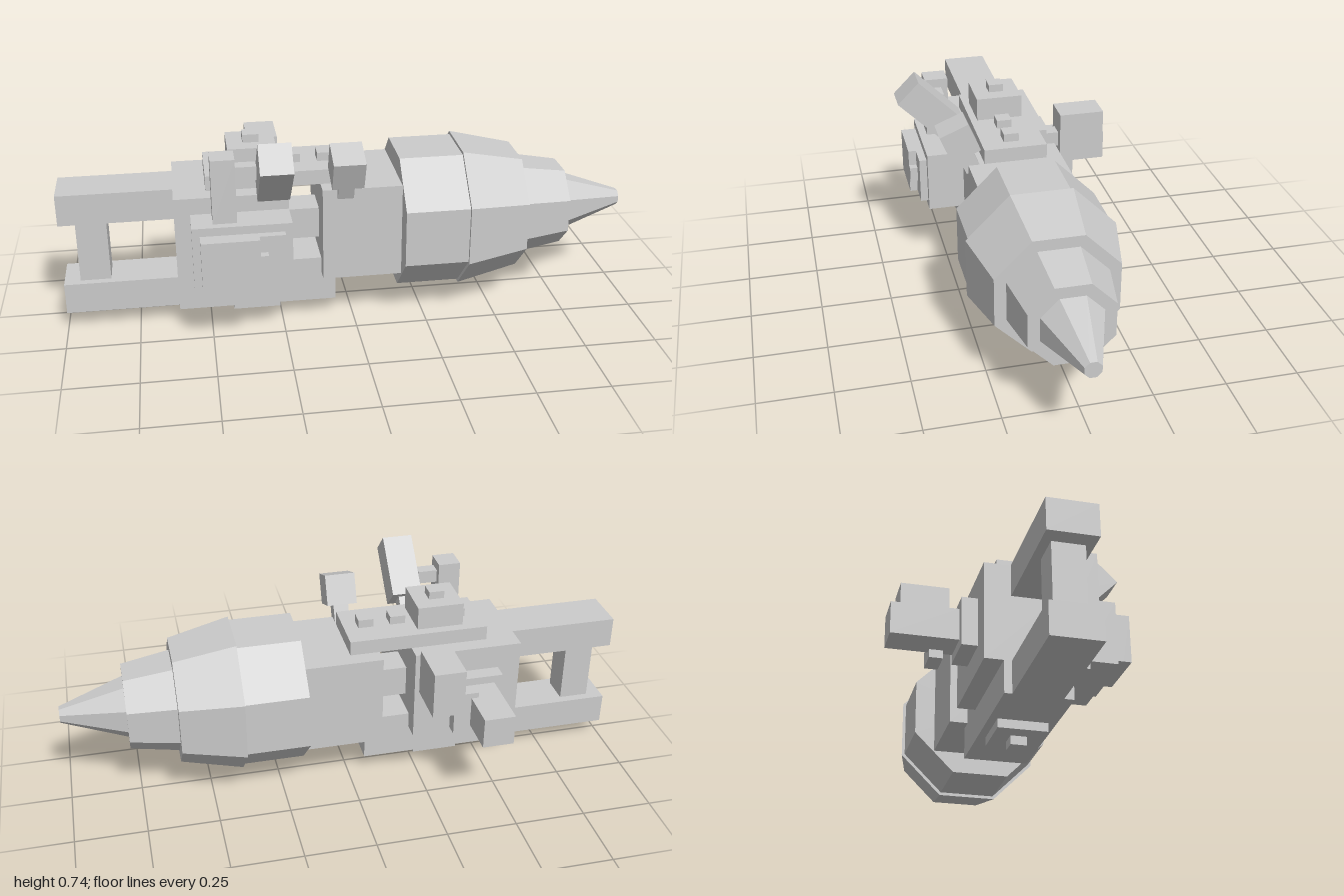
import * as THREE from 'three';

const AXIS_Y = 0.336, AXIS_Z = 0.034;

export function createModel() {
  const root = new THREE.Group();
  const mat = new THREE.MeshStandardMaterial({ color: 0xcccccc, flatShading: true });

  const add = (name, geo, x, y, z, parent = root) => {
    const m = new THREE.Mesh(geo, mat);
    m.name = name;
    m.position.set(x, y, z);
    parent.add(m);
    return m;
  };
  // Box given by its extents on each axis
  const box = (name, [x0, x1], [y0, y1], [z0, z1]) =>
    add(name, new THREE.BoxGeometry(x1 - x0, y1 - y0, z1 - z0),
      (x0 + x1) / 2, (y0 + y1) / 2, (z0 + z1) / 2);
  // Eight-sided nose section between two x positions, sized by flat-to-centre distance
  const section = (name, x0, x1, a0, a1) => {
    const k = 1 / Math.cos(Math.PI / 8);
    const g = new THREE.CylinderGeometry(a1 * k, a0 * k, x1 - x0, 8, 1, false, Math.PI / 8);
    g.rotateZ(-Math.PI / 2);
    add(name, g, (x0 + x1) / 2, AXIS_Y, AXIS_Z);
  };

  // Octagonal nose
  section('noseCollar', 0.165, 0.387, 0.242, 0.242);
  section('noseShoulder', 0.387, 0.605, 0.253, 0.206);
  section('noseNeck', 0.605, 0.775, 0.167, 0.14);
  section('noseCone', 0.775, 1, 0.101, 0.027);

  // Hull blocks and the link between them
  const hullZ = [-0.137, 0.2];
  box('frontHull', [-0.11, 0.165], [0.17, 0.505], hullZ);
  box('rearHull', [-0.61, -0.225], [0.17, 0.505], hullZ);
  box('hullLink', [-0.225, -0.11], [0.28, 0.392], [-0.025, 0.09]);
  box('keel', [-0.61, -0.06], [0.06, 0.225], [-0.075, 0.145]);

  // Tail frame
  box('upperTailBeam', [-1, -0.61], [0.395, 0.505], [-0.05, 0.112]);
  box('lowerTailBeam', [-1, -0.61], [0.06, 0.17], [-0.05, 0.112]);
  box('tailPost', [-0.945, -0.84], [0.17, 0.395], [-0.02, 0.085]);

  // Stepped top deck with small hatches
  const stepZ = [-0.048, 0.118], knobZ = [0.008, 0.062];
  box('topDeck', [-0.5, -0.005], [0.505, 0.557], [-0.082, 0.142]);
  box('topStep', [-0.42, -0.255], [0.557, 0.64], stepZ);
  box('topKnob', [-0.365, -0.31], [0.64, 0.668], knobZ);
  for (const x of [-0.445, -0.225, -0.11])
    box('deckHatch', [x, x + 0.055], [0.557, 0.587], knobZ);

  // Stepped belly
  box('bellyStep', [-0.42, -0.255], [0.03, 0.06], stepZ);
  box('bellyKnob', [-0.365, -0.31], [0, 0.03], knobZ);

  // Front side housing and mast
  box('sidePlate', [-0.556, -0.225], [0.225, 0.447], [0.2, 0.313]);
  box('sideSlab', [-0.53, -0.25], [0.25, 0.418], [0.313, 0.34]);
  box('sideBlock', [-0.53, -0.337], [0.25, 0.418], [0.34, 0.368]);
  box('sideLatch', [-0.337, -0.31], [0.305, 0.36], [0.34, 0.368]);
  box('mast', [-0.485, -0.405], [0.447, 0.67], [0.2, 0.285]);
  box('mastArm', [-0.405, -0.335], [0.59, 0.637], [0.225, 0.27]);

  // Tilted turrets, each a head on a stalk
  const turret = (name, x, y, z, height, stalk, angle) => {
    const g = new THREE.Group();
    g.name = name;
    g.position.set(x, y, z);
    g.rotation.x = angle;
    add('turretHead', new THREE.BoxGeometry(0.108, height, 0.109), 0, 0, 0, g);
    add('turretStalk', new THREE.BoxGeometry(0.055, stalk, 0.055), 0, -(height + stalk) / 2, 0, g);
    root.add(g);
  };
  turret('largeTurret', -0.28, 0.621, 0.292, 0.223, 0.06, Math.PI / 4);
  turret('smallTurret', -0.032, 0.604, 0.231, 0.11, 0.075, Math.PI / 8);

  // Back side equipment
  box('backPlate', [-0.53, -0.38], [0.25, 0.418], [-0.19, -0.137]);
  box('backBarrel', [-0.5, -0.39], [0.28, 0.39], [-0.41, -0.19]);
  box('backArm', [-0.415, -0.33], [0.252, 0.41], [-0.27, -0.225]);
  box('backPod', [-0.335, -0.225], [0.39, 0.557], [-0.355, -0.19]);
  box('podMount', [-0.31, -0.255], [0.42, 0.475], [-0.19, -0.137]);

  return root;
}
